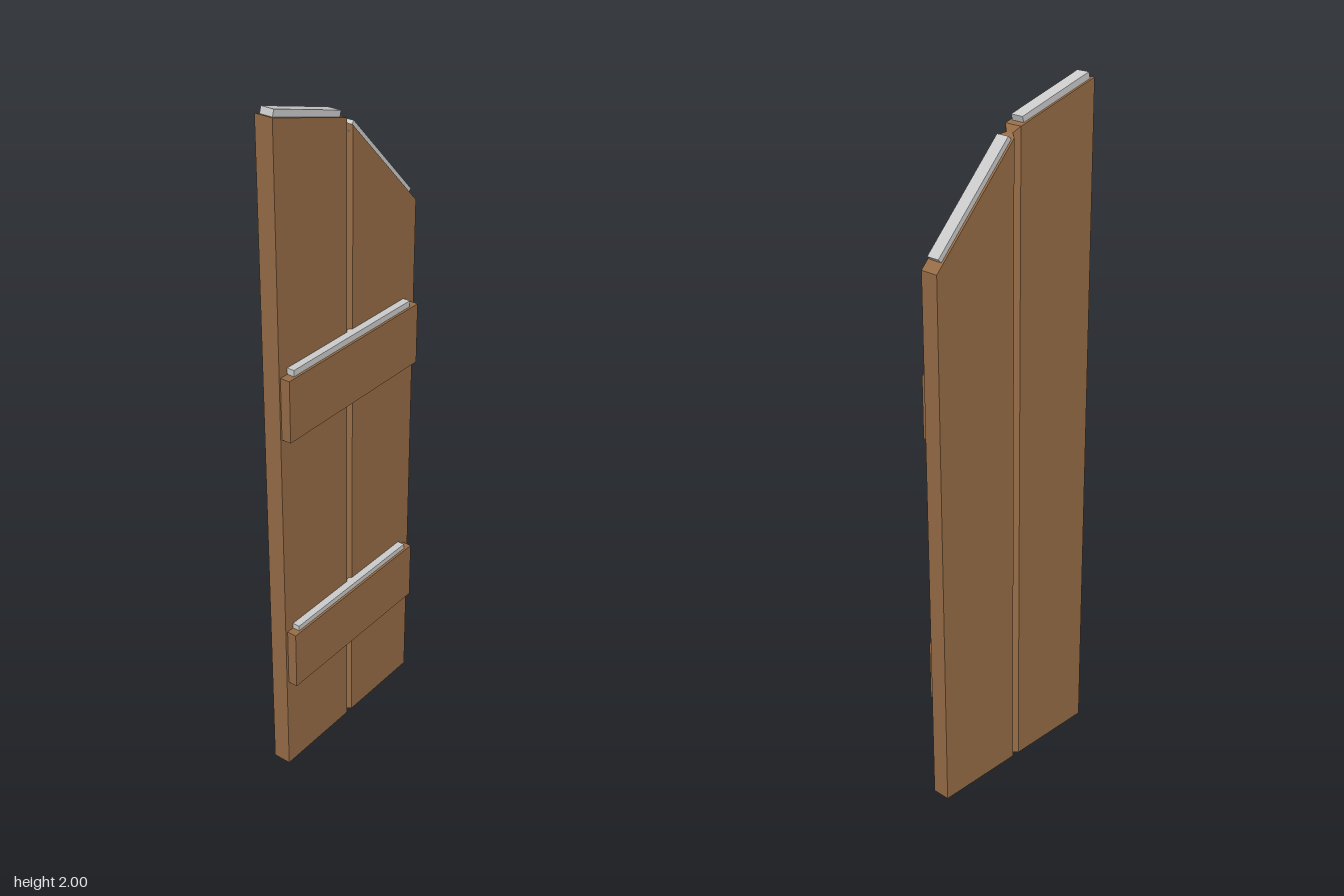
import * as THREE from 'three';

const wood = new THREE.MeshStandardMaterial({ color: 0x966c46, flatShading: true });
const cap = new THREE.MeshStandardMaterial({ color: 0xcccccc, flatShading: true });

// Box given by its minimum and maximum corners
function box(name, material, [x0, y0, z0], [x1, y1, z1]) {
  const mesh = new THREE.Mesh(new THREE.BoxGeometry(x1 - x0, y1 - y0, z1 - z0), material);
  mesh.position.set((x0 + x1) / 2, (y0 + y1) / 2, (z0 + z1) / 2);
  mesh.name = name;
  return mesh;
}

// Solid lofted along x through rectangular sections [x, bottom, top, back, front]
function loft(name, material, sections) {
  const pos = [], index = [];
  for (const [x, bottom, top, back, front] of sections) {
    pos.push(x, bottom, front, x, top, front, x, top, back, x, bottom, back);
  }
  for (let i = 0; i < sections.length - 1; i++) {
    for (let k = 0; k < 4; k++) {
      const a = i * 4 + k, b = i * 4 + (k + 1) % 4;
      index.push(a, a + 4, b + 4, a, b + 4, b);
    }
  }
  const e = (sections.length - 1) * 4;
  index.push(0, 1, 2, 0, 2, 3, e, e + 2, e + 1, e, e + 3, e + 2);
  const indexed = new THREE.BufferGeometry();
  indexed.setAttribute('position', new THREE.Float32BufferAttribute(pos, 3));
  indexed.setIndex(index);
  const geometry = indexed.toNonIndexed();
  geometry.computeVertexNormals();
  const mesh = new THREE.Mesh(geometry, material);
  mesh.name = name;
  return mesh;
}

// Thin strip lying along a slanted plank end, between two points of its top edge
function slantedCap(name, [x0, y0], [x1, y1], thickness) {
  const length = Math.hypot(x1 - x0, y1 - y0);
  const geometry = new THREE.BoxGeometry(length, thickness, 0.039);
  geometry.translate(0, -thickness / 2, 0);
  const mesh = new THREE.Mesh(geometry, cap);
  mesh.position.set((x0 + x1) / 2, (y0 + y1) / 2, -0.0155);
  mesh.rotation.z = Math.atan2(y1 - y0, x1 - x0);
  mesh.name = name;
  return mesh;
}

export function createModel() {
  const model = new THREE.Group();
  model.name = 'plankShutter';

  // Two planks with slanted tops, joined by a V groove on both faces
  const back = -0.042, front = 0.012;
  model.add(loft('planks', wood, [
    [-0.29, 0, 1.985, back, front],
    [-0.012, 0, 1.907, back, front],
    [0, 0, 1.89, -0.025, -0.004],
    [0.012, 0, 1.882, back, front],
    [0.288, 0, 1.595, back, front],
  ]));

  // Grey strips on the plank tops
  model.add(slantedCap('rightPlankCap', [-0.275, 2.0], [-0.025, 1.928], 0.03));
  model.add(slantedCap('leftPlankCap', [0.026, 1.888], [0.275, 1.629], 0.03));

  // Cross battens, each with a grey strip on top
  for (const [name, bottom, top, capTop, x0, x1] of [
    ['upperBatten', 1.12, 1.302, 1.32, -0.285, 0.268],
    ['lowerBatten', 0.305, 0.487, 0.503, -0.282, 0.266],
  ]) {
    model.add(box(name, wood, [x0, bottom, 0.008], [x1, top, 0.041]));
    model.add(box(name + 'Cap', cap, [-0.258, top - 0.01, 0.005], [0.24, capTop, 0.034]));
  }
  return model;
}
